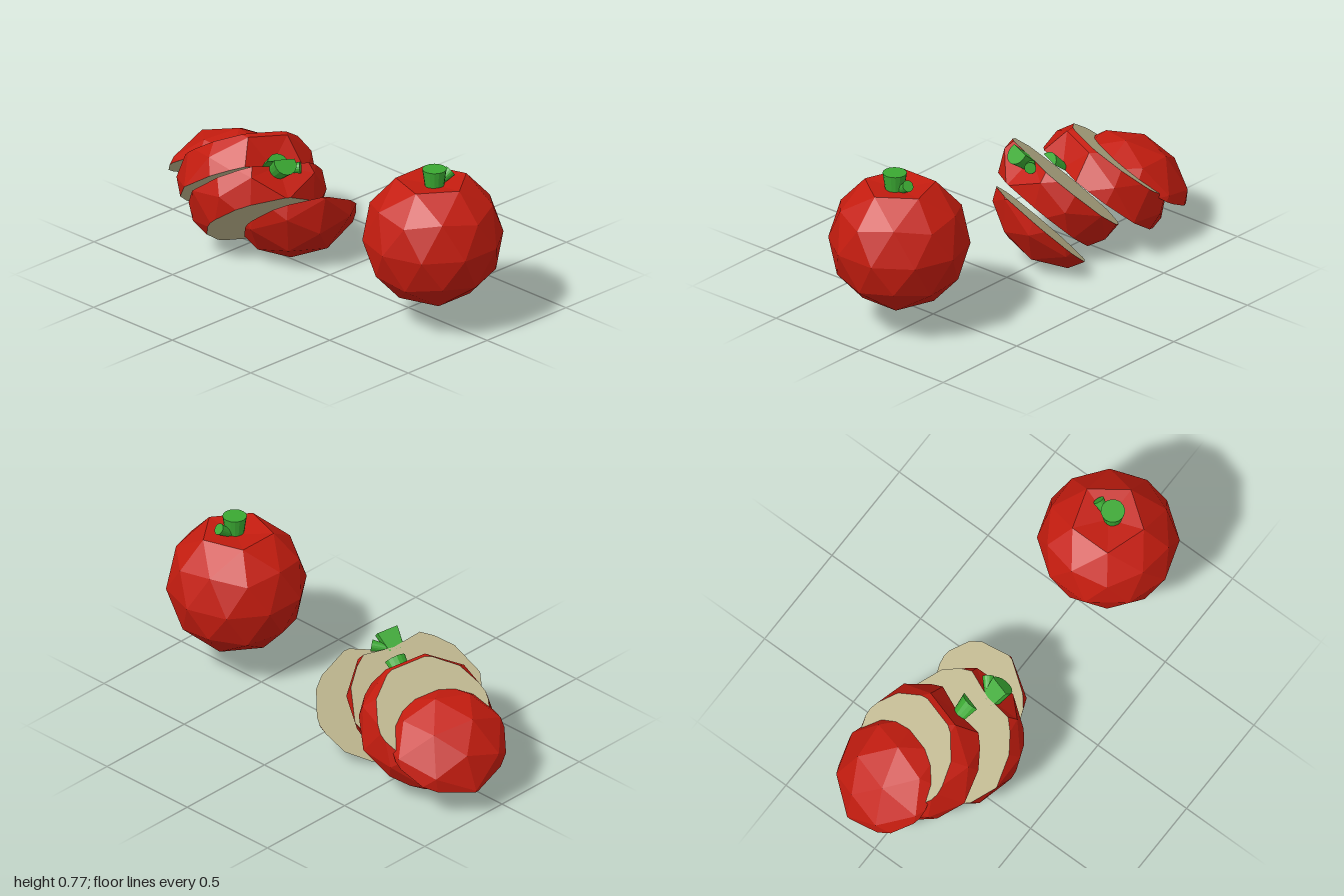
import * as THREE from 'three';

const R = 0.321;
const RED = new THREE.MeshStandardMaterial({ color: 0xc41c0f, flatShading: true });
const FLESH = new THREE.MeshStandardMaterial({ color: 0xbab28a, flatShading: true });
const GREEN = new THREE.MeshStandardMaterial({ color: 0x3aa832, flatShading: true });

// Geometry -> list of triangles (arrays of three points)
function toPolys(geometry) {
  const pos = (geometry.index ? geometry.toNonIndexed() : geometry).attributes.position;
  const polys = [];
  for (let i = 0; i < pos.count; i += 3) {
    polys.push([0, 1, 2].map(k => new THREE.Vector3().fromBufferAttribute(pos, i + k)));
  }
  return polys;
}

// Keep the part of every polygon where side * (x - at) >= 0
function clip(polys, at, side) {
  return polys.map(poly => {
    const out = [];
    poly.forEach((a, i) => {
      const b = poly[(i + 1) % poly.length];
      const da = side * (a.x - at), db = side * (b.x - at);
      if (da >= 0) out.push(a);
      if (da * db < 0) out.push(a.clone().lerp(b, da / (da - db)));
    });
    return out;
  }).filter(poly => poly.length > 2);
}

// Flat face closing the cut at x = at, facing the given way along x
function cutFace(polys, at, facing) {
  const rim = polys.flat().filter(p => Math.abs(p.x - at) < 1e-6);
  if (rim.length < 3) return [];
  const c = new THREE.Box3().setFromPoints(rim).getCenter(new THREE.Vector3());
  const angle = p => Math.atan2(p.z - c.z, p.y - c.y);
  rim.sort((a, b) => angle(a) - angle(b));
  return rim.map((p, i) => {
    const q = rim[(i + 1) % rim.length];
    return facing > 0 ? [c, p, q] : [c, q, p];
  }).filter(([, p, q]) => p.distanceTo(q) > 1e-6);
}

function addMesh(group, name, polys, material) {
  if (!polys.length) return;
  const pts = [];
  for (const poly of polys) {
    for (let i = 1; i < poly.length - 1; i++) pts.push(poly[0], poly[i], poly[i + 1]);
  }
  const geometry = new THREE.BufferGeometry().setFromPoints(pts);
  geometry.computeVertexNormals();
  const mesh = new THREE.Mesh(geometry, material);
  mesh.name = name;
  group.add(mesh);
}

// Faceted ball with one corner up, its top corner pushed in
function bodyPolys() {
  const g = new THREE.IcosahedronGeometry(R, 1);
  g.rotateZ(-Math.atan2(1, (1 + Math.sqrt(5)) / 2));
  const polys = toPolys(g);
  polys.flat().forEach(p => { if (p.y > R * 0.95) p.set(0, R * 0.85 - 0.02, 0); });
  return polys;
}

// Tapered stalk between two points
function stalkPolys(from, to, r0, r1) {
  const a = new THREE.Vector3(...from), b = new THREE.Vector3(...to);
  const dir = b.clone().sub(a);
  const g = new THREE.CylinderGeometry(r1, r0, dir.length(), 16);
  g.applyQuaternion(new THREE.Quaternion().setFromUnitVectors(new THREE.Vector3(0, 1, 0), dir.normalize()));
  g.translate(...a.add(b).multiplyScalar(0.5).toArray());
  return toPolys(g);
}

// Fruit, or the part of it between lo and hi along its x axis
function makeFruit(name, lo = -1, hi = 1) {
  const group = new THREE.Group();
  group.name = name;
  const part = polys => {
    const skin = clip(clip(polys, lo, 1), hi, -1);
    return [skin, [...cutFace(skin, lo, -1), ...cutFace(skin, hi, 1)]];
  };
  const [skin, flesh] = part(bodyPolys());
  addMesh(group, 'skin', skin, RED);
  addMesh(group, 'cutFlesh', flesh, FLESH);
  const stem = part(stalkPolys([0.02, 0.24, 0.01], [0.02, 0.339, 0.01], 0.041, 0.055));
  addMesh(group, 'stem', stem.flat(), GREEN);
  const sprig = part(stalkPolys([0.018, 0.263, -0.025], [0.032, 0.304, -0.08], 0.017, 0.027));
  addMesh(group, 'sideStem', sprig.flat(), GREEN);
  return group;
}

export function createModel() {
  const model = new THREE.Group();
  model.name = 'fruitAndSlices';

  const whole = makeFruit('wholeFruit');
  whole.position.set(0.69, 0.436, 0.035);
  model.add(whole);

  // Fanned slices: range along the cut axis, centre, and upward normal of the cut
  const slices = [
    { range: [-1, -0.16], at: [-0.69, 0.158, -0.057], up: [-0.49, 0.82, -0.3] },
    { range: [-0.16, 0], at: [-0.57, 0.262, -0.045], up: [-0.56, 0.77, -0.3] },
    { range: [0, 0.16], at: [-0.44, 0.315, 0.035], up: [-0.61, 0.73, -0.3] },
    { range: [0.16, 1], at: [-0.31, 0.318, -0.068], up: [-0.63, 0.71, -0.3] },
  ];
  slices.forEach(({ range, at, up }, i) => {
    const slice = makeFruit('slice' + (i + 1), ...range);
    const x = new THREE.Vector3(...up).normalize().negate();
    const y = new THREE.Vector3(0.74, 0.66, 0.15);
    y.addScaledVector(x, -y.dot(x)).normalize();
    const z = x.clone().cross(y);
    slice.quaternion.setFromRotationMatrix(new THREE.Matrix4().makeBasis(x, y, z));
    slice.position.set(...at);
    model.add(slice);
  });
  return model;
}
